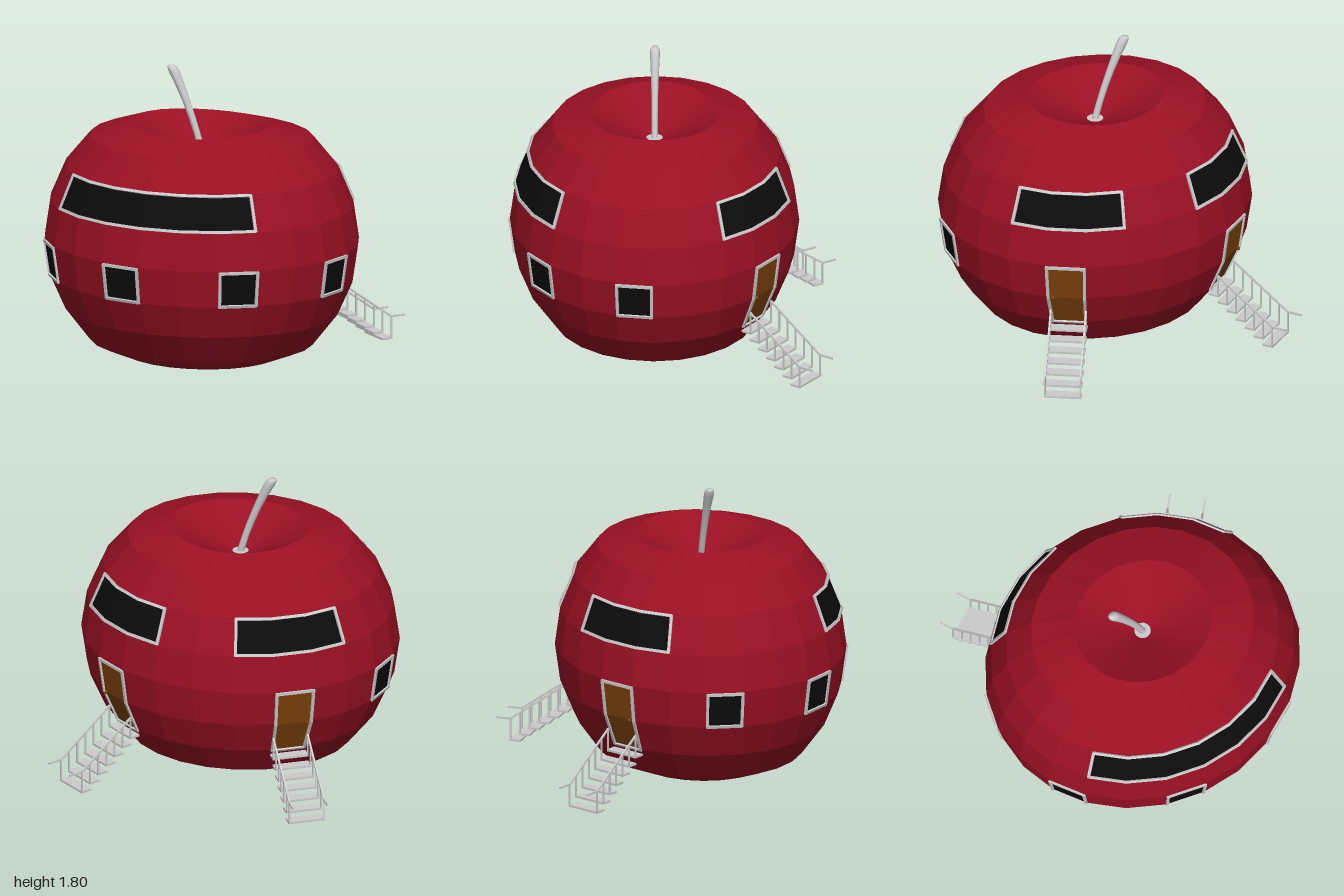
import * as THREE from 'three';

const mat = (color, opts = {}) => new THREE.MeshStandardMaterial({ color, ...opts });
const grey = mat(0xcccccc);
const red = mat(0x9b1024, { flatShading: true });
const bowlRed = mat(0x9b1024);
const black = mat(0x0c0c0c, { flatShading: true, side: THREE.DoubleSide });
const brown = mat(0x7d420c, { flatShading: true, side: THREE.DoubleSide });

const CZ = 0.1, SQUASH = 0.898, SIDES = 24, STEP = 360 / SIDES;
// Fruit profile: [radius, height]
const PROFILE = [[0, 0.02], [0.48, 0.02], [0.695, 0.105], [0.85, 0.3], [0.945, 0.51],
  [0.98, 0.74], [0.945, 0.97], [0.85, 1.19], [0.695, 1.375], [0.43, 1.445]];

function mesh(name, geo, material, parent) {
  const m = new THREE.Mesh(geo, material);
  m.name = name;
  parent?.add(m);
  return m;
}

// Square bar from p to q
function bar(name, p, q, w, up, parent) {
  const m = mesh(name, new THREE.BoxGeometry(w, w, p.distanceTo(q) + w * 0.6), grey);
  m.position.copy(p).lerp(q, 0.5);
  m.up.copy(up);
  m.lookAt(q);
  parent.add(m);
}

// Squashed lathe whose rim rises slightly towards the sides
function fruitLathe(points) {
  const geo = new THREE.LatheGeometry(points.map(p => new THREE.Vector2(...p)), SIDES);
  const pos = geo.attributes.position;
  for (let i = 0; i < pos.count; i++) {
    if (Math.abs(pos.getY(i) - 1.445) < 0.001) pos.setY(i, 1.445 + 0.02 * (pos.getX(i) / 0.43) ** 2);
  }
  geo.scale(1, 1, SQUASH).translate(0, 0, CZ);
  geo.computeVertexNormals();
  return geo;
}

// Point on the faceted skin at an angle (degrees from the front) and height
function skin(deg, y, lift = 1.004) {
  let i = 1;
  while (i < PROFILE.length - 2 && y > PROFILE[i + 1][1]) i++;
  const [r0, y0] = PROFILE[i], [r1, y1] = PROFILE[i + 1];
  const r = (r0 + (r1 - r0) * (y - y0) / (y1 - y0)) * lift;
  const corner = k => {
    const a = THREE.MathUtils.degToRad(k * STEP);
    return new THREE.Vector3(r * Math.sin(a), y, CZ + r * SQUASH * Math.cos(a));
  };
  const k = Math.floor(deg / STEP);
  return corner(k).lerp(corner(k + 1), deg / STEP - k);
}

// Panel following the skin, with a grey frame round it
function framedPanel(name, from, to, rows, material, parent) {
  const group = new THREE.Group();
  group.name = name;
  parent.add(group);
  const cols = [];
  for (let a = from; a <= to; a += STEP) cols.push(a);
  cols[0] += 0.5;
  cols[cols.length - 1] -= 0.5;

  const verts = [], index = [], n = cols.length;
  rows.forEach((y, j) => cols.forEach((a, i) => {
    verts.push(...skin(a, y));
    if (i && j) {
      const d = j * n + i;
      index.push(d - n - 1, d - n, d, d - n - 1, d, d - 1);
    }
  }));
  const geo = new THREE.BufferGeometry();
  geo.setAttribute('position', new THREE.Float32BufferAttribute(verts, 3));
  geo.setIndex(index);
  geo.computeVertexNormals();
  mesh(name + 'Panel', geo, material, group);

  const loop = [
    ...cols.map(a => [a, rows[0]]),
    ...rows.slice(1).map(y => [cols[n - 1], y]),
    ...cols.slice(0, -1).reverse().map(a => [a, rows[rows.length - 1]]),
    ...rows.slice(1, -1).reverse().map(y => [cols[0], y]),
  ].map(([a, y]) => skin(a, y));
  loop.forEach((p, i) => {
    const up = new THREE.Vector3(p.x, (p.y - 0.74) * 1.3, p.z - CZ).normalize();
    bar(name + 'Frame', p, loop[(i + 1) % loop.length], 0.018, up, group);
  });
  return group;
}

// Open steps with a handrail each side; local +z leads away from the door
function stairs(side) {
  const group = new THREE.Group();
  group.name = 'stairs';
  const up = new THREE.Vector3(0, 1, 0);
  const V = (x, y, z) => new THREE.Vector3(x, y, z);
  const count = 7, rise = 0.0437, run = 0.061, end = 0.434, railX = 0.108;
  for (let k = 0; k < count; k++) {
    const z = end - k * run, y = k * rise;
    mesh('tread', new THREE.BoxGeometry(0.225, 0.013, 0.07), grey, group).position.set(0, y + 0.0065, z - 0.035);
    for (const s of [-1, 1]) bar('railPost', V(s * railX, y + 0.006, z - 0.005), V(s * railX, y + 0.14, z - 0.005), 0.009, V(0, 0, 1), group);
  }
  for (const s of [-1, 1]) {
    const foot = V(s * railX, 0.142, end - 0.005);
    bar('handrail', V(s * railX, 0.142 + 6 * rise, end - 0.005 - 6 * run), foot, 0.011, up, group);
    bar('handrailEnd', foot, V(s * railX, 0.142, end + 0.085), 0.011, up, group);
  }
  group.position.set(side * 0.513, 0, -0.5);
  group.rotation.y = side * Math.atan2(0.568, -0.823);
  return group;
}

export function createModel() {
  const model = new THREE.Group();
  model.name = 'fruitHouse';

  // Fruit body and the hollow in its top
  mesh('body', fruitLathe(PROFILE), red, model);
  mesh('topHollow', fruitLathe([[0.43, 1.445], [0.05, 1.28], [0, 1.28]]), bowlRed, model);

  // Grey discs at the stem foot and under the body
  const disc = new THREE.CircleGeometry(0.05, SIDES);
  const topDisc = mesh('stemDisc', disc, grey, model);
  topDisc.position.set(0, 1.286, CZ);
  topDisc.rotation.x = -Math.PI / 2;
  const baseDisc = mesh('baseDisc', disc, grey, model);
  baseDisc.position.set(0, 0.017, CZ);
  baseDisc.rotation.x = Math.PI / 2;

  // Leaning stem, thicker towards its tip
  const stemProfile = [[0.019, 0], [0.019, 0.1], [0.02, 0.2], [0.022, 0.3], [0.026, 0.4],
    [0.03, 0.47], [0.029, 0.5], [0.021, 0.515], [0, 0.52]];
  const stemGeo = new THREE.LatheGeometry(stemProfile.map(p => new THREE.Vector2(...p)), 14);
  const sp = stemGeo.attributes.position;
  for (let i = 0; i < sp.count; i++) {
    const t = sp.getY(i);
    sp.setX(i, sp.getX(i) * 1.15 - 0.27 * t - 0.25 * t * t);
  }
  stemGeo.computeVertexNormals();
  mesh('stem', stemGeo, grey, model).position.set(0, 1.28, CZ);

  // Wide upper windows: one at the front, two at the back
  for (const [a, b] of [[-45, 45], [120, 165], [-165, -120]]) {
    framedPanel('upperWindow', a, b, [0.98, 1.185], black, model);
  }

  // Small lower windows
  for (let a = -105; a <= 75; a += 45) {
    framedPanel('lowerWindow', a, a + STEP, [0.517, 0.73], black, model);
  }

  // Back doors with their knobs and stairs
  for (const s of [1, -1]) {
    const door = framedPanel('door', s > 0 ? 135 : -150, s > 0 ? 150 : -135, [0.3, 0.51, 0.73], brown, model);
    mesh('doorKnob', new THREE.SphereGeometry(0.012, 12, 8), brown, door)
      .position.copy(skin(s * 137.4, 0.51, 1.014));
    model.add(stairs(s));
  }
  return model;
}
